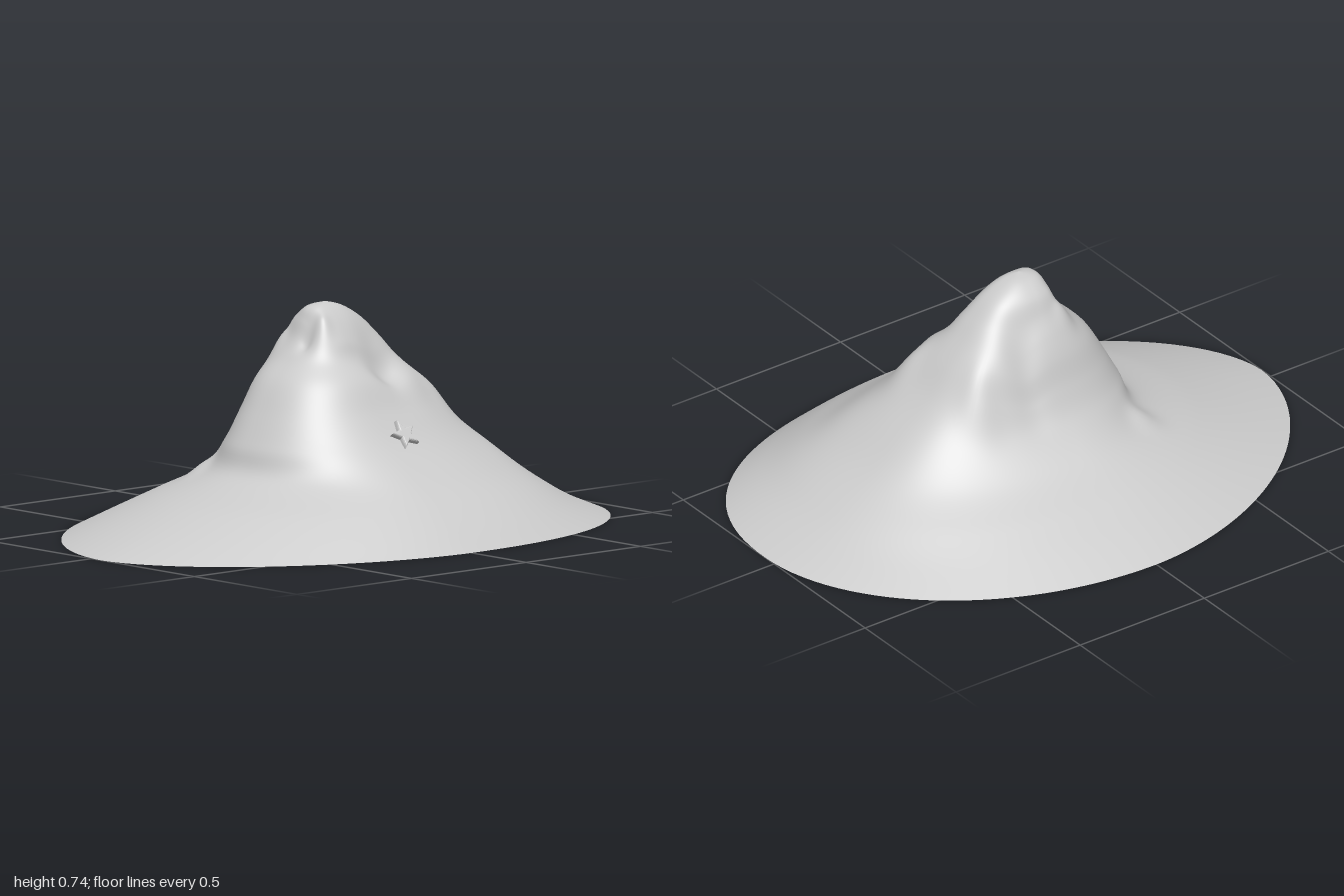
import * as THREE from 'three';

const CENTRE_X = 0.02;

// Contours of the mound: height, then reach to front, left (+x), back and right (-x)
const contours = [
  [0.00, 1.00, 0.715, 1.00, 0.757],
  [0.06, 0.80, 0.65, 0.85, 0.64],
  [0.12, 0.62, 0.575, 0.74, 0.52],
  [0.20, 0.40, 0.465, 0.61, 0.37],
  [0.30, 0.345, 0.35, 0.49, 0.27],
  [0.40, 0.29, 0.27, 0.38, 0.22],
  [0.50, 0.23, 0.21, 0.30, 0.19],
  [0.57, 0.16, 0.145, 0.24, 0.16],
  [0.63, 0.11, 0.115, 0.19, 0.125],
  [0.69, 0.085, 0.075, 0.13, 0.095],
  [0.73, 0.06, 0.035, 0.06, 0.05],
];

// Local lumps (+) and gullies (-): x, z, spread, height
const relief = [
  [-0.23, 0.31, 0.035, 0.02], [0.05, 0.10, 0.02, -0.025], [0.09, 0.075, 0.022, 0.025],
  [-0.09, 0.09, 0.025, 0.025], [0.18, -0.33, 0.04, 0.03], [-0.14, -0.28, 0.04, 0.03],
  [0.17, -0.12, 0.05, -0.055], [-0.15, -0.10, 0.045, -0.045], [0.3, -0.5, 0.08, 0.015],
];

// Each contour is four joined superellipse quadrants, squarer higher up
function radiusAt([y, front, left, back, right], angle) {
  const s = Math.sin(angle), c = Math.cos(angle);
  const base = c > 0 ? (s > 0 ? 1.75 : 1.8) : (s > 0 ? 2.25 : 2.0);
  const n = base + 1.6 * Math.min(y, 0.4);
  const across = Math.abs(s) / (s > 0 ? left : right);
  const along = Math.abs(c) / (c > 0 ? front : back);
  return (across ** n + along ** n) ** (-1 / n);
}

function moundGeometry() {
  const around = 144, up = 80, positions = [], index = [];
  for (let j = 0; j < around; j++) {
    const angle = j / around * Math.PI * 2;
    const points = contours.map(row => new THREE.Vector2(radiusAt(row, angle), row[0]));
    points.push(new THREE.Vector2(0, 0.745));
    const profile = new THREE.SplineCurve(points);
    for (let i = 0; i <= up; i++) {
      const p = profile.getPoint(i / up);
      const z = p.x * Math.cos(angle);
      // the front and back tips of the skirt lean towards +x
      const x = CENTRE_X + p.x * Math.sin(angle) + 0.03 * z * z;
      let y = p.y;
      for (const [cx, cz, spread, height] of relief) {
        y += height * Math.exp(-((x - cx) ** 2 + (z - cz) ** 2) / (2 * spread * spread));
      }
      positions.push(x, y, z);
      if (i === up) continue;
      const a = j * (up + 1) + i, b = ((j + 1) % around) * (up + 1) + i;
      index.push(a, b, a + 1);
      if (i < up - 1) index.push(b, b + 1, a + 1);
    }
  }
  const geometry = new THREE.BufferGeometry();
  geometry.setAttribute('position', new THREE.Float32BufferAttribute(positions, 3));
  geometry.setIndex(index);
  geometry.computeVertexNormals();
  return geometry;
}

function starGeometry() {
  const points = [];
  for (let i = 0; i < 10; i++) {
    const a = i / 10 * Math.PI * 2 + Math.PI / 2, r = i % 2 ? 0.018 : 0.046;
    points.push(new THREE.Vector2(r * Math.cos(a), r * Math.sin(a)));
  }
  return new THREE.ExtrudeGeometry(new THREE.Shape(points), {
    depth: 0.012, bevelThickness: 0.01, bevelSize: 0.006, bevelSegments: 3,
  });
}

export function createModel() {
  const model = new THREE.Group();
  const material = new THREE.MeshStandardMaterial({ color: 0xcccccc, side: THREE.DoubleSide });

  // Hollow rocky mound with a wide skirt
  const mound = new THREE.Mesh(moundGeometry(), material);
  mound.name = 'mound';

  // Small starfish lying on the left slope
  const starfish = new THREE.Mesh(starGeometry(), material);
  starfish.name = 'starfish';
  starfish.position.set(0.338, 0.33, -0.055);
  starfish.lookAt(1.338, 1.13, -0.055);
  starfish.rotateZ(0.2);

  model.add(mound, starfish);
  return model;
}
